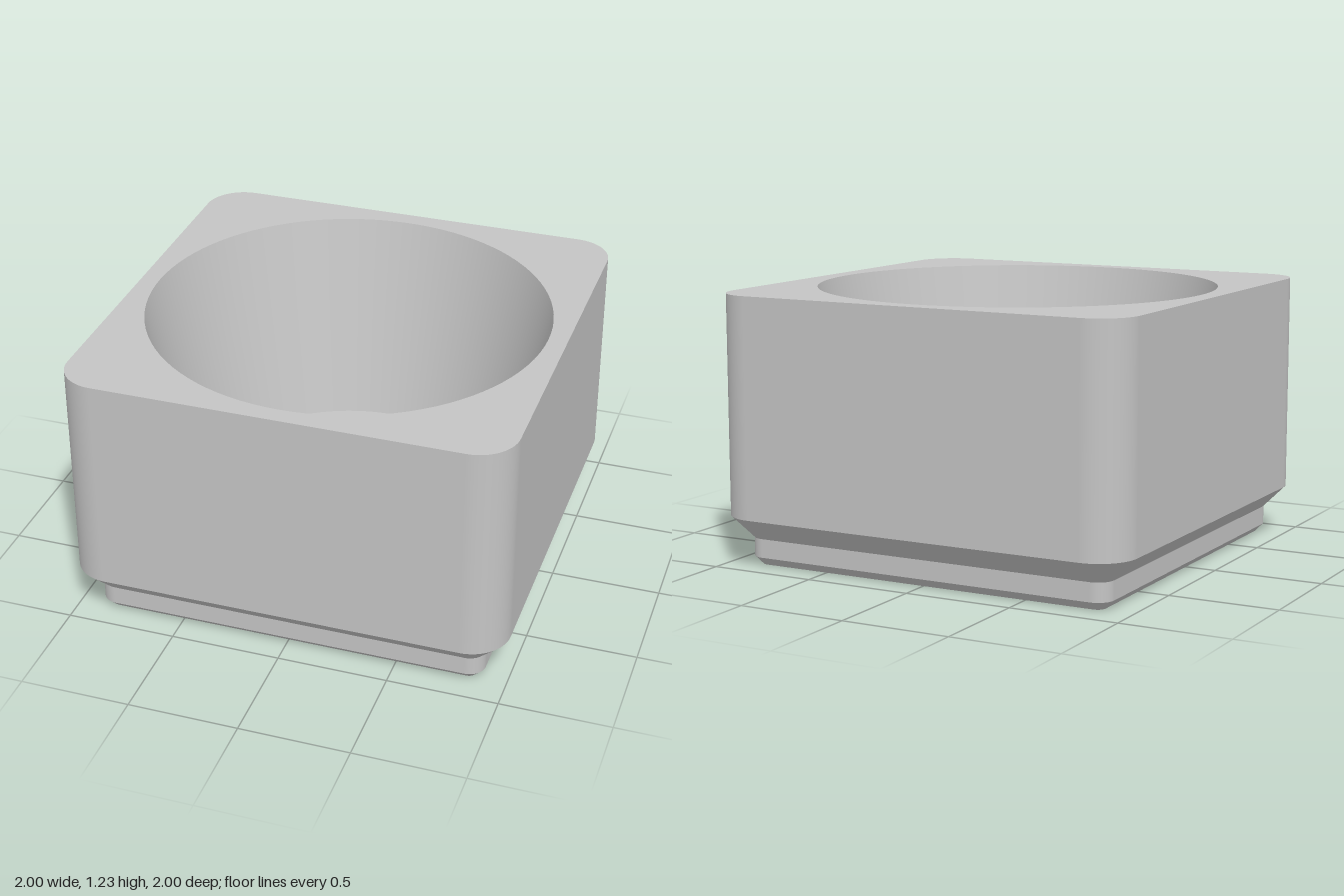
import * as THREE from 'three';

const HEIGHT = 1.23, CORNER = 0.82, RIM = 0.914, FLOOR_R = 0.70, FLOOR_Y = 0.27;
const STEPS = 16;

// Rounded square outline: every level shares the same corner centres
function outline(half) {
  const r = half - CORNER, pts = [];
  for (let q = 0; q < 4; q++) {
    const mid = (q + 0.5) * Math.PI / 2;
    const cx = Math.sign(Math.cos(mid)) * CORNER, cy = Math.sign(Math.sin(mid)) * CORNER;
    for (let i = 0; i <= STEPS; i++) {
      const a = (q + i / STEPS) * Math.PI / 2;
      pts.push({ x: cx + r * Math.cos(a), y: cy + r * Math.sin(a), a });
    }
  }
  return pts;
}

// Wall between two levels, smooth around the corners and sharp at its edges
function band(h0, y0, h1, y1) {
  const lo = outline(h0), hi = outline(h1), n = lo.length;
  const pos = [], nor = [], idx = [];
  const len = Math.hypot(h1 - h0, y1 - y0);
  const out = (y1 - y0) / len, up = (h0 - h1) / len;
  for (let i = 0; i < n; i++) {
    for (const [p, y] of [[lo[i], y0], [hi[i], y1]]) {
      pos.push(p.x, y, -p.y);
      nor.push(out * Math.cos(p.a), up, -out * Math.sin(p.a));
    }
    const a = 2 * i, b = 2 * ((i + 1) % n);
    idx.push(a, b, a + 1, b, b + 1, a + 1);
  }
  const g = new THREE.BufferGeometry();
  g.setAttribute('position', new THREE.Float32BufferAttribute(pos, 3));
  g.setAttribute('normal', new THREE.Float32BufferAttribute(nor, 3));
  g.setIndex(idx);
  return g;
}

function squareShape(half) {
  return new THREE.Shape(outline(half).map(p => new THREE.Vector2(p.x, p.y)));
}

export function createModel() {
  const group = new THREE.Group();
  group.name = 'squareCup';
  const grey = new THREE.MeshStandardMaterial({ color: 0xc4c4c4 });
  grey.name = 'grey';
  const add = (name, geometry) => {
    const mesh = new THREE.Mesh(geometry, grey);
    mesh.name = name;
    group.add(mesh);
    return mesh;
  };

  // Stepped foot and tall body
  add('footChamfer', band(0.858, 0, 0.896, 0.039));
  add('footWall', band(0.896, 0.039, 0.896, 0.125));
  add('bodyChamfer', band(0.896, 0.125, 1, 0.229));
  add('bodyWall', band(1, 0.229, 1, HEIGHT));

  // Underside
  add('underside', new THREE.ShapeGeometry(squareShape(0.858)).rotateX(Math.PI / 2));

  // Top face with the round opening
  const top = squareShape(1);
  top.holes.push(new THREE.Path().absarc(0, 0, RIM, 0, Math.PI * 2, true));
  add('topFace', new THREE.ShapeGeometry(top, 48).rotateX(-Math.PI / 2).translate(0, HEIGHT, 0));

  // Tapered recess, facing inwards, and its flat floor
  add('recessWall', new THREE.LatheGeometry(
    [new THREE.Vector2(RIM, HEIGHT), new THREE.Vector2(FLOOR_R, FLOOR_Y)], 96));
  add('recessFloor', new THREE.CircleGeometry(FLOOR_R, 96).rotateX(-Math.PI / 2).translate(0, FLOOR_Y, 0));

  return group;
}
